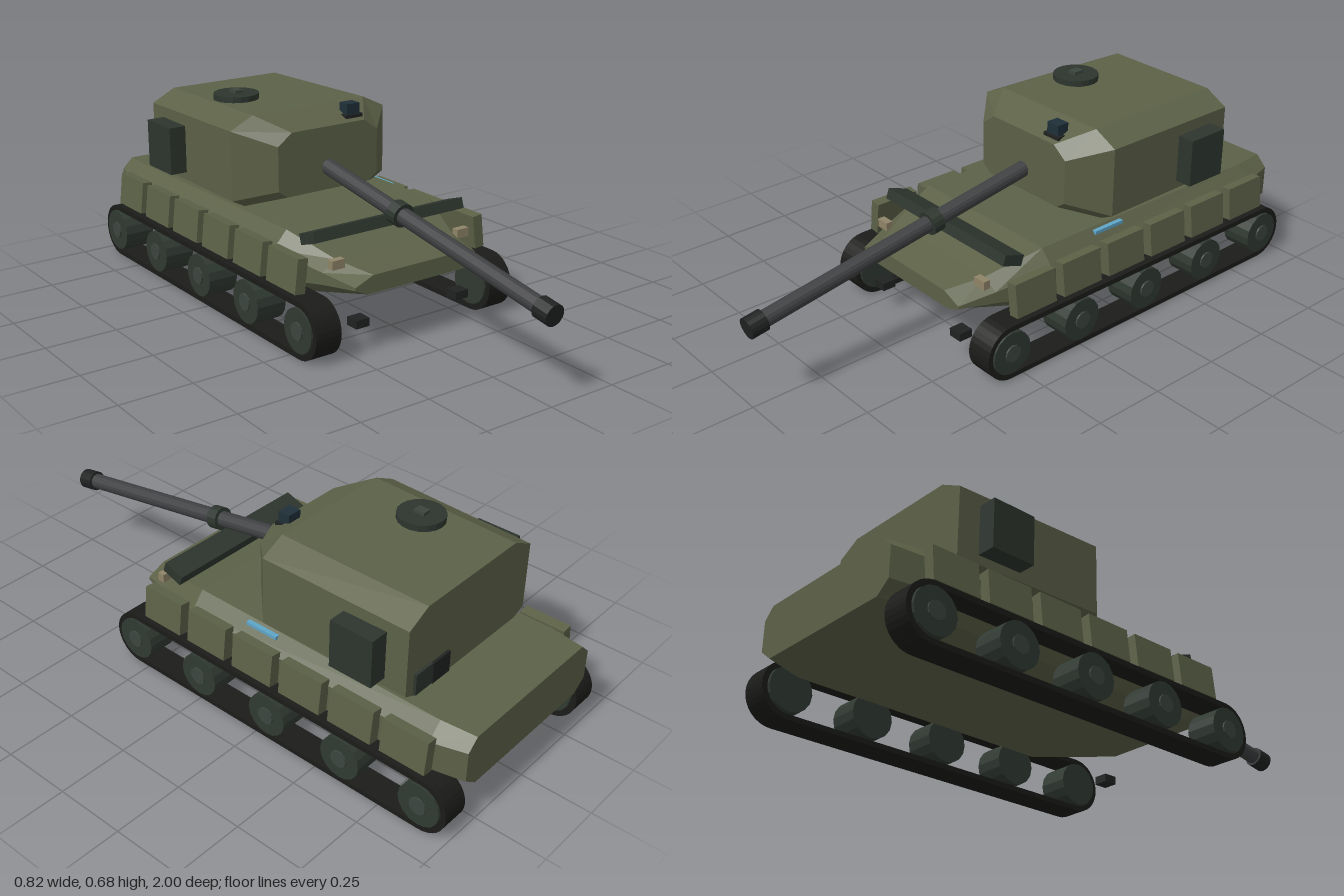
import * as THREE from 'three';

const mat = (color, side = THREE.FrontSide) =>
  new THREE.MeshStandardMaterial({ color, flatShading: true, side });
const OLIVE = mat(0x5c6147), DARK = mat(0x2d352e), TRACK = mat(0x1b1b19), WHEEL = mat(0x303932),
  HUB = mat(0x3b453e), STEEL = mat(0x3f4042), BLACK = mat(0x202222), GLASS = mat(0x1f2f38),
  LAMP = mat(0x8f8468), BLUE = mat(0x5fa5c8);

function add(parent, name, geometry, material, x = 0, y = 0, z = 0) {
  const mesh = new THREE.Mesh(geometry, material);
  mesh.name = name;
  mesh.position.set(x, y, z);
  parent.add(mesh);
  return mesh;
}
const box = (w, h, d) => new THREE.BoxGeometry(w, h, d);

// Loft through mirrored cross-sections, listed front to rear.
// Each section is [z, [x, y]...] for the +x half, from bottom to top.
function loft(sections) {
  const rings = sections.map(([z, ...half]) => [
    ...half.map(([x, y]) => [x, y, z]),
    ...half.slice().reverse().map(([x, y]) => [-x, y, z]),
  ]);
  const n = rings[0].length, last = rings.length - 1, pos = [];
  const tri = (a, b, c) => pos.push(...a, ...b, ...c);
  for (let i = 0; i < last; i++) {
    for (let j = 0; j < n; j++) {
      const k = (j + 1) % n;
      tri(rings[i][j], rings[i + 1][j], rings[i + 1][k]);
      tri(rings[i][j], rings[i + 1][k], rings[i][k]);
    }
  }
  for (let j = 1; j < n - 1; j++) {
    tri(rings[0][0], rings[0][j], rings[0][j + 1]);
    tri(rings[last][0], rings[last][j + 1], rings[last][j]);
  }
  const g = new THREE.BufferGeometry();
  g.setAttribute('position', new THREE.Float32BufferAttribute(pos, 3));
  g.computeVertexNormals();
  return g;
}

// Stadium outline around the end wheels
function stadium(path, r, front, rear, cy) {
  path.moveTo(rear, cy - r);
  path.lineTo(front, cy - r);
  path.absarc(front, cy, r, -Math.PI / 2, Math.PI / 2, false);
  path.lineTo(rear, cy + r);
  path.absarc(rear, cy, r, Math.PI / 2, Math.PI * 1.5, false);
  return path;
}

function runningGear(s) {
  const gear = new THREE.Group();
  gear.name = s > 0 ? 'leftRunningGear' : 'rightRunningGear';

  // Track belt
  const outline = stadium(new THREE.Shape(), 0.096, 0.298, -0.9, 0.096);
  outline.holes.push(stadium(new THREE.Path(), 0.078, 0.298, -0.9, 0.096));
  const belt = new THREE.ExtrudeGeometry(outline, { depth: 0.095, bevelEnabled: false, curveSegments: 8 });
  belt.translate(0, 0, -0.0475).rotateY(-Math.PI / 2);
  add(gear, 'track', belt, TRACK, s * 0.3525);

  // Road wheels with hubs
  for (let i = 0; i < 5; i++) {
    const z = 0.3 - i * 0.3;
    add(gear, 'wheel', new THREE.CylinderGeometry(0.075, 0.075, 0.108, 16).rotateZ(Math.PI / 2), WHEEL, s * 0.352, 0.098, z);
    add(gear, 'wheelHub', new THREE.CylinderGeometry(0.03, 0.03, 0.02, 12).rotateZ(Math.PI / 2), HUB, s * 0.402, 0.098, z);
  }

  // Slanted skirt plates
  for (let i = 0; i < 6; i++) {
    const plate = add(gear, 'skirtPlate', box(0.038, 0.116, 0.165), OLIVE, s * 0.364, 0.257, 0.182 - i * 0.2);
    plate.rotation.z = s * 0.115;
  }
  return gear;
}

function buildTurret() {
  const turret = new THREE.Group();
  turret.name = 'turret';
  add(turret, 'turretShell', loft([
    [-0.097, [0.17, 0.385], [0.205, 0.41], [0.205, 0.565], [0.15, 0.606]],
    [-0.21, [0.27, 0.345], [0.318, 0.37], [0.318, 0.612], [0.23, 0.655]],
    [-0.76, [0.26, 0.345], [0.306, 0.365], [0.306, 0.602], [0.22, 0.646]],
  ]), OLIVE);

  // Side stowage boxes
  for (const s of [1, -1]) add(turret, 'sideBox', box(0.07, 0.168, 0.158), DARK, s * 0.338, 0.481, -0.603);

  // Rear stowage boxes
  add(turret, 'rearBox', box(0.08, 0.075, 0.02), DARK, 0.23, 0.392, -0.76);
  add(turret, 'rearBox', box(0.085, 0.075, 0.02), BLACK, 0.145, 0.387, -0.76);

  // Hatch
  add(turret, 'hatch', new THREE.CylinderGeometry(0.08, 0.08, 0.024, 18), DARK, -0.135, 0.66, -0.465);
  add(turret, 'hatchHandle', box(0.032, 0.014, 0.04), HUB, -0.135, 0.676, -0.465);

  // Sight
  add(turret, 'sightBase', box(0.07, 0.012, 0.055), BLACK, 0.12, 0.62, -0.14);
  add(turret, 'sight', box(0.052, 0.042, 0.045), GLASS, 0.12, 0.642, -0.142);
  return turret;
}

function buildGun() {
  const gun = new THREE.Group();
  gun.name = 'gun';
  const tube = (name, r, from, to, m) =>
    add(gun, name, new THREE.CylinderGeometry(r, r, to - from, 16).rotateX(Math.PI / 2), m, 0, 0, (from + to) / 2);
  tube('barrel', 0.028, -0.06, 1.06, STEEL);
  tube('barrelSleeve', 0.041, 0.37, 0.412, DARK);
  tube('muzzle', 0.036, 1.045, 1.104, BLACK);
  gun.position.set(0, 0.463, -0.095);
  gun.rotation.x = 0.165;
  return gun;
}

export function createModel() {
  const tank = new THREE.Group();
  tank.name = 'tank';

  // Hull
  add(tank, 'hull', loft([
    [0.39, [0.2, 0.2], [0.25, 0.222], [0.25, 0.232], [0.18, 0.26]],
    [0.27, [0.24, 0.178], [0.29, 0.215], [0.29, 0.255], [0.235, 0.287]],
    [0.08, [0.3, 0.143], [0.345, 0.19], [0.345, 0.29], [0.295, 0.347]],
    [-0.88, [0.3, 0.143], [0.345, 0.19], [0.345, 0.29], [0.295, 0.342]],
    [-1, [0.27, 0.157], [0.32, 0.195], [0.32, 0.3], [0.28, 0.338]],
  ]), OLIVE);

  // Running gear, headlights and tow blocks on both sides
  for (const s of [1, -1]) {
    tank.add(runningGear(s));
    add(tank, 'headlight', box(0.048, 0.03, 0.025), LAMP, s * 0.255, 0.286, 0.297);
    add(tank, 'towBlock', box(0.052, 0.028, 0.05), BLACK, s * 0.205, 0.097, 0.345);
  }

  // Tilted bar across the front deck
  add(tank, 'frontBar', box(0.61, 0.037, 0.08), DARK, 0, 0.354, 0.21).rotation.x = -0.33;

  // Side marker strip
  add(tank, 'markerStrip', box(0.02, 0.012, 0.125), BLUE, 0.308, 0.332, -0.2);

  tank.add(buildTurret(), buildGun());
  return tank;
}
